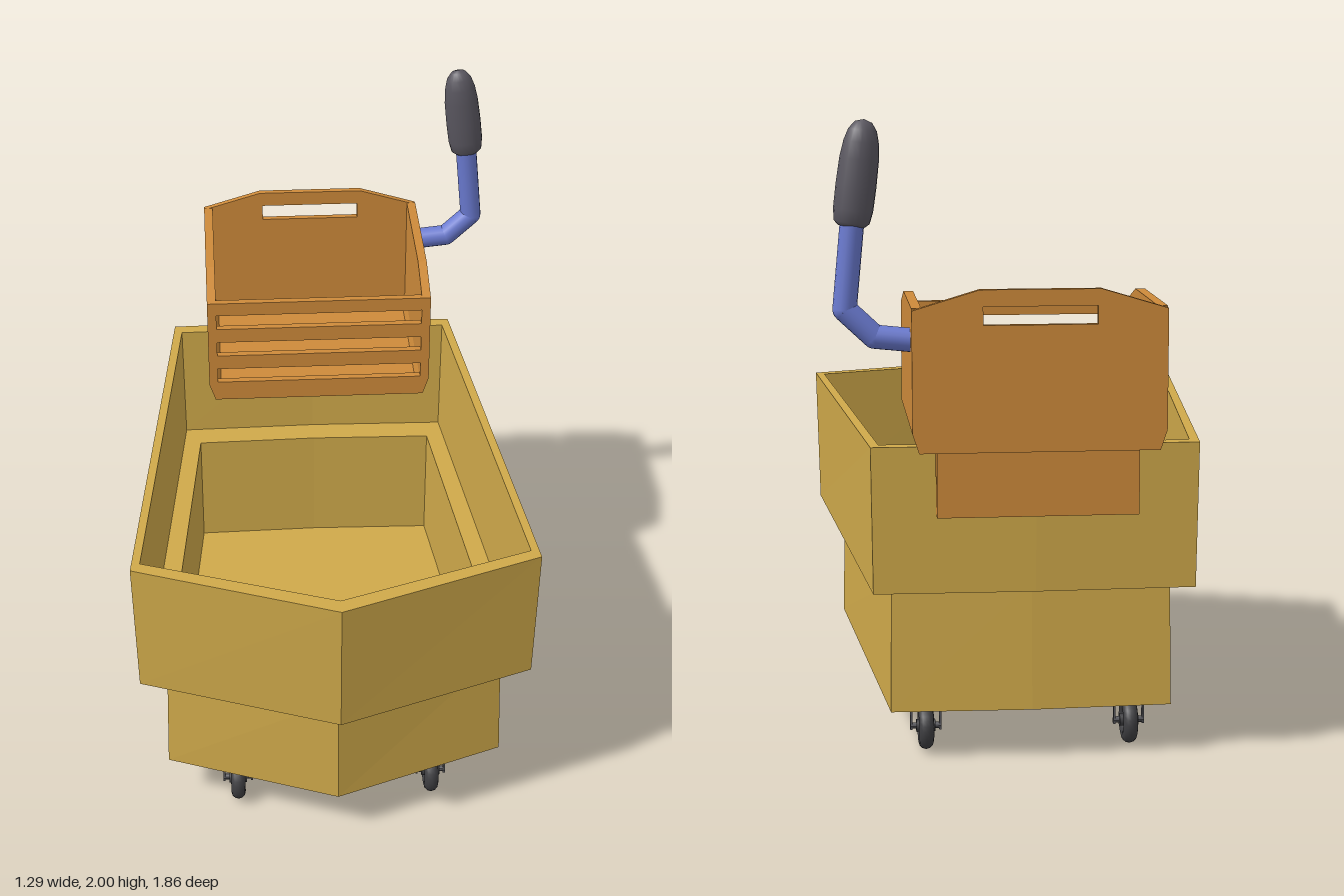
import * as THREE from 'three';

const mat = (color, flat = true) => new THREE.MeshStandardMaterial({ color, flatShading: flat });
const tubMat = mat(0xcfa94a), woodMat = mat(0xcd8a3a);
const steelMat = mat(0x6a7ad0, false), gripMat = mat(0x5a5760, false), tyreMat = mat(0x3f3f42, false), forkMat = mat(0x55555a);

function add(parent, name, geometry, material, x = 0, y = 0, z = 0) {
  const mesh = new THREE.Mesh(geometry, material);
  mesh.name = name;
  mesh.position.set(x, y, z);
  parent.add(mesh);
  return mesh;
}

// Pointed outline: front half-width, shoulder z, tip z, back half-width, back corner z, back middle z
const ring = (y, w, zs, zt, wb, zb, zm) => [
  [0, y, zt], [w, y, zs], [wb, y, zb], [0, y, zm], [-wb, y, zb], [-w, y, zs],
];

// Skin consecutive rings, closing the first downwards and the last upwards
function loft(rings) {
  const pos = [], n = rings[0].length;
  const tri = (a, b, c) => pos.push(...a, ...b, ...c);
  for (let r = 0; r < rings.length - 1; r++) {
    const a = rings[r], b = rings[r + 1];
    for (let i = 0; i < n; i++) {
      const j = (i + 1) % n;
      tri(a[i], a[j], b[j]);
      tri(a[i], b[j], b[i]);
    }
  }
  const first = rings[0], last = rings[rings.length - 1];
  for (let i = 1; i < n - 1; i++) {
    tri(first[0], first[i + 1], first[i]);
    tri(last[0], last[i], last[i + 1]);
  }
  const g = new THREE.BufferGeometry();
  g.setAttribute('position', new THREE.Float32BufferAttribute(pos, 3));
  g.computeVertexNormals();
  return g;
}

// Flat panel from an outline with rectangular holes [x0, y0, x1, y1]
function panel(points, depth, holes = []) {
  const shape = new THREE.Shape(points.map(p => new THREE.Vector2(...p)));
  for (const [x0, y0, x1, y1] of holes) {
    shape.holes.push(new THREE.Path([[x0, y0], [x0, y1], [x1, y1], [x1, y0]].map(p => new THREE.Vector2(...p))));
  }
  return new THREE.ExtrudeGeometry(shape, { depth, bevelEnabled: false });
}

function makeTub() {
  // Outside from the floor up, over the rim, then down inside past the ledge
  return loft([
    ring(0.16, 0.555, 0.585, 0.80, 0.44, -0.695, -0.71),
    ring(0.565, 0.545, 0.575, 0.795, 0.435, -0.68, -0.695),
    ring(0.565, 0.632, 0.675, 0.915, 0.495, -0.80, -0.81),
    ring(1.02, 0.643, 0.68, 0.928, 0.50, -0.81, -0.82),
    ring(1.02, 0.613, 0.645, 0.87, 0.475, -0.765, -0.775),
    ring(0.60, 0.608, 0.64, 0.865, 0.472, -0.762, -0.772),
    ring(0.60, 0.535, 0.56, 0.755, 0.42, -0.67, -0.68),
    ring(0.19, 0.535, 0.56, 0.755, 0.42, -0.67, -0.68),
  ]);
}

function makeBasket() {
  const g = new THREE.Group();
  g.name = 'basket';
  const foot = [[-0.36, 1.02], [0.36, 1.02], [0.38, 1.08]];
  // Back with a hand slot
  add(g, 'basketBack', panel([...foot, [0.38, 1.445], [0.18, 1.505], [-0.18, 1.505], [-0.38, 1.445], [-0.38, 1.08]],
    0.022, [[-0.17, 1.40, 0.17, 1.455]]), woodMat, 0, 0, -0.928);
  // Slatted front
  add(g, 'basketFront', panel([...foot, [0.38, 1.40], [-0.38, 1.40], [-0.38, 1.08]], 0.025,
    [1.09, 1.195, 1.30].map(y => [-0.35, y, 0.35, y + 0.053])), woodMat, 0, 0, -0.327);
  // Sides, tucked in along the bottom edge
  for (const s of [-1, 1]) {
    const side = panel([[-0.31, 1.02], [-0.31, 1.08], [-0.31, 1.40], [-0.47, 1.45], [-0.91, 1.45], [-0.91, 1.08], [-0.91, 1.02]].reverse(), 0.03);
    side.rotateY(-Math.PI / 2).translate(s > 0 ? 0.38 : -0.35, 0, 0);
    const p = side.attributes.position;
    for (let i = 0; i < p.count; i++) if (p.getY(i) < 1.03) p.setX(i, p.getX(i) - s * 0.02);
    side.computeVertexNormals();
    add(g, s > 0 ? 'basketSideLeft' : 'basketSideRight', side, woodMat);
  }
  add(g, 'basketFloor', new THREE.BoxGeometry(0.70, 0.025, 0.59), woodMat, 0, 1.0335, -0.615);
  // Clips that straddle the back wall of the tub
  add(g, 'outerClip', new THREE.BoxGeometry(0.61, 0.21, 0.06), woodMat, 0, 0.92, -0.852);
  add(g, 'innerClip', new THREE.BoxGeometry(0.61, 0.21, 0.035), woodMat, 0, 0.92, -0.745);
  return g;
}

function makeHandle() {
  const g = new THREE.Group();
  g.name = 'handle';
  const r = 0.036;
  const pts = [[0.36, 1.345], [0.485, 1.358], [0.572, 1.44], [0.545, 1.72]].map(p => new THREE.Vector3(...p, 0));
  // Bent bar
  for (let i = 0; i < pts.length - 1; i++) {
    const d = pts[i + 1].clone().sub(pts[i]);
    const bar = add(g, 'bar', new THREE.CylinderGeometry(r, r, d.length(), 16), steelMat);
    bar.position.addVectors(pts[i], pts[i + 1]).multiplyScalar(0.5);
    bar.quaternion.setFromUnitVectors(new THREE.Vector3(0, 1, 0), d.normalize());
    if (i) add(g, 'barBend', new THREE.SphereGeometry(r, 16, 10), steelMat, ...pts[i].toArray());
  }
  // Rounded grip
  const profile = [[0, 0], [0.04, 0.002], [0.053, 0.014], [0.059, 0.05], [0.06, 0.12], [0.058, 0.2],
    [0.052, 0.25], [0.042, 0.285], [0.025, 0.308], [0, 0.316]].map(p => new THREE.Vector2(...p));
  const grip = add(g, 'grip', new THREE.LatheGeometry(profile, 20), gripMat, 0.55, 1.684, 0);
  grip.rotation.z = 0.13;
  grip.scale.z = 0.82;
  g.position.z = -0.83;
  return g;
}

function makeWheel(x, z) {
  const g = new THREE.Group();
  g.name = 'wheel';
  // Rounded tyre, recessed web and axle
  const tyre = add(g, 'tyre', new THREE.TorusGeometry(0.051, 0.024, 12, 28), tyreMat);
  tyre.rotation.y = Math.PI / 2;
  const web = add(g, 'web', new THREE.CylinderGeometry(0.045, 0.045, 0.02, 20), forkMat);
  const hub = add(g, 'hub', new THREE.CylinderGeometry(0.02, 0.02, 0.06, 16), tyreMat);
  const axle = add(g, 'axle', new THREE.CylinderGeometry(0.01, 0.01, 0.095, 10), forkMat);
  for (const m of [web, hub, axle]) m.rotation.z = Math.PI / 2;
  // Thin fork legs
  for (const s of [-1, 1]) {
    add(g, 'forkLeg', new THREE.BoxGeometry(0.007, 0.105, 0.016), forkMat, s * 0.046, 0.04, 0);
  }
  g.position.set(x, 0.075, z);
  return g;
}

export function createModel() {
  const model = new THREE.Group();
  model.name = 'cart';
  add(model, 'tub', makeTub(), tubMat);
  model.add(makeBasket(), makeHandle());
  for (const x of [-0.325, 0.325]) for (const z of [0.585, -0.57]) model.add(makeWheel(x, z));
  return model;
}
